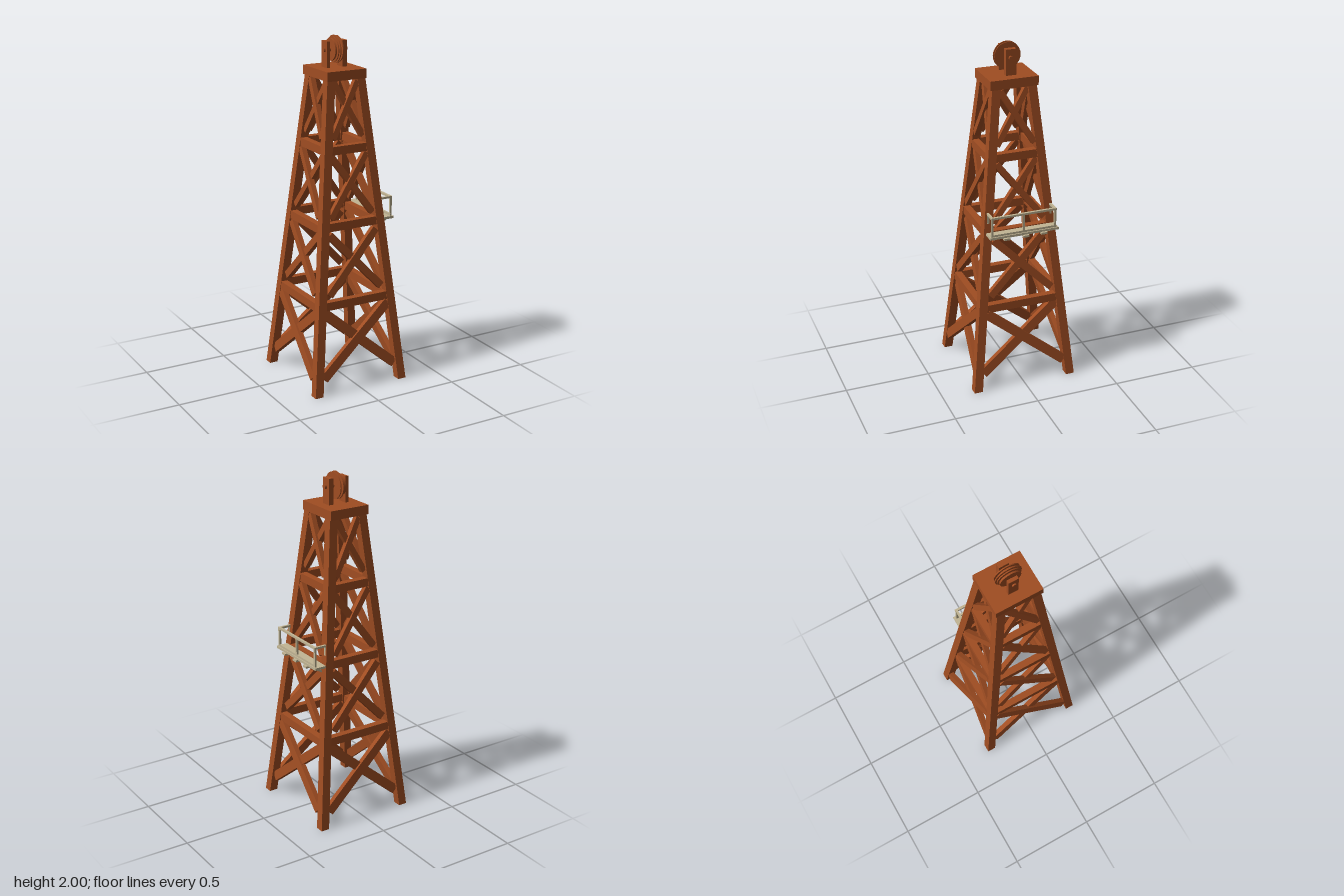
import * as THREE from 'three';

const H = 1.78; // height of the legs
const legX = (y) => 0.275 - 0.181 * (y / H);
const legZ = (y) => 0.288 - 0.184 * (y / H);

export function createModel() {
  const model = new THREE.Group();
  const rust = new THREE.MeshStandardMaterial({ color: 0xa04d22 });
  rust.name = 'rustRed';
  const cream = new THREE.MeshStandardMaterial({ color: 0xc2b594 });
  cream.name = 'cream';

  const add = (parent, name, geometry, material) => {
    const mesh = new THREE.Mesh(geometry, material);
    mesh.name = name;
    parent.add(mesh);
    return mesh;
  };
  const box = (parent, name, size, pos, material) => {
    const mesh = add(parent, name, new THREE.BoxGeometry(...size), material);
    mesh.position.set(...pos);
    return mesh;
  };
  const group = (name) => {
    const g = new THREE.Group();
    g.name = name;
    model.add(g);
    return g;
  };

  // Square timber from a to b, its thin side along the face normal n
  const timber = (parent, name, a, b, n, width, depth, material) => {
    const along = b.clone().sub(a);
    const length = along.length();
    along.normalize();
    const side = along.clone().cross(n).normalize();
    const out = side.clone().cross(along);
    const mesh = add(parent, name, new THREE.BoxGeometry(width, length, depth), material);
    mesh.quaternion.setFromRotationMatrix(new THREE.Matrix4().makeBasis(side, along, out));
    mesh.position.copy(a).add(b).multiplyScalar(0.5);
    return mesh;
  };

  // Four leaning legs with level ends
  const legs = group('legs');
  for (const sx of [-1, 1]) for (const sz of [-1, 1]) {
    const g = new THREE.BoxGeometry(0.05, H, 0.05);
    g.translate(0, H / 2, 0);
    const p = g.attributes.position;
    for (let i = 0; i < p.count; i++) {
      const y = p.getY(i);
      p.setX(i, p.getX(i) + sx * legX(y));
      p.setZ(i, p.getZ(i) + sz * legZ(y));
    }
    g.computeVertexNormals();
    add(legs, 'leg', g, rust);
  }

  // Cross braces and girts on all four faces
  const panels = [ // lower y, upper y, brace width, inset from the leg centre
    [0.1, 0.475, 0.055, 0.03],
    [0.575, 0.915, 0.043, 0.045],
    [1.01, 1.355, 0.035, 0.035],
    [1.45, 1.76, 0.033, 0.03],
  ];
  for (const [name, alongX, s] of [
    ['frontFace', true, 1], ['backFace', true, -1],
    ['leftFace', false, 1], ['rightFace', false, -1],
  ]) {
    const face = group(name);
    const point = (side, y, inset, lift) => alongX
      ? new THREE.Vector3(side * (legX(y) - inset), y, s * (legZ(y) + lift))
      : new THREE.Vector3(s * (legX(y) + lift), y, side * (legZ(y) - inset));
    const normal = alongX ? new THREE.Vector3(0, 0.1, s) : new THREE.Vector3(s, 0.1, 0);
    for (const [y0, y1, width, inset] of panels) {
      for (const d of [-1, 1]) {
        const lift = d * s > 0 ? 0.008 : -0.004;
        timber(face, 'crossBrace', point(-d, y0, inset, lift),
          point(d, y1, inset * 0.8, lift), normal, width, 0.03, rust);
      }
    }
    const heights = alongX ? [0.517, 0.963, 1.387] : [0.508, 0.95, 1.387];
    for (const y of heights) {
      const c = point(0, y, 0, 0.002);
      const span = 2 * (alongX ? legX(y) : legZ(y));
      box(face, 'girt', alongX ? [span, 0.048, 0.04] : [0.04, 0.048, span],
        [alongX ? 0 : c.x, y, alongX ? c.z : 0], rust);
    }
  }

  // Crown block: cap, cheeks, axle and grooved pulley
  const crown = group('crown');
  box(crown, 'cap', [0.246, 0.053, 0.28], [-0.002, 1.797, 0], rust);
  box(crown, 'rightCheek', [0.02, 0.15, 0.06], [-0.055, 1.896, -0.003], rust);
  box(crown, 'leftCheek', [0.03, 0.15, 0.06], [0.047, 1.896, -0.003], rust);
  const axle = add(crown, 'axle', new THREE.CylinderGeometry(0.013, 0.013, 0.148, 12), rust);
  axle.rotation.z = Math.PI / 2;
  axle.position.set(0, 1.922, 0);
  for (const [x, r, w] of [
    [-0.026, 0.062, 0.01], [-0.014, 0.07, 0.006], [-0.005, 0.078, 0.006],
    [0.003, 0.06, 0.012], [0.011, 0.076, 0.006],
  ]) {
    const disc = add(crown, 'pulleyDisc', new THREE.CylinderGeometry(r, r, w, 24), rust);
    disc.rotation.z = Math.PI / 2;
    disc.position.set(x, 1.922, 0);
  }

  // Work platform on the left side
  const platform = group('platform');
  box(platform, 'deck', [0.078, 0.014, 0.41], [0.232, 0.962, -0.005], cream);
  for (const z of [-0.118, -0.01, 0.105]) {
    box(platform, 'joist', [0.085, 0.012, 0.035], [0.241, 0.951, z], cream);
  }
  for (const z of [-0.17, 0.16]) {
    timber(platform, 'bracket', new THREE.Vector3(0.2, 0.922, z),
      new THREE.Vector3(0.262, 0.956, z), new THREE.Vector3(0, 0, 1), 0.01, 0.012, cream);
  }
  // Handrail
  for (const z of [-0.19, -0.002, 0.185]) {
    box(platform, 'post', [0.012, 0.12, 0.012], [0.259, 1.022, z], cream);
  }
  box(platform, 'topRail', [0.014, 0.012, 0.39], [0.259, 1.08, -0.0025], cream);
  box(platform, 'toeRail', [0.01, 0.012, 0.39], [0.259, 0.975, -0.0025], cream);
  for (const z of [-0.19, 0.185]) {
    box(platform, 'endRail', [0.08, 0.012, 0.013], [0.224, 1.08, z], cream);
    box(platform, 'innerPost', [0.012, 0.12, 0.012], [0.19, 1.022, z], cream);
  }
  return model;
}
